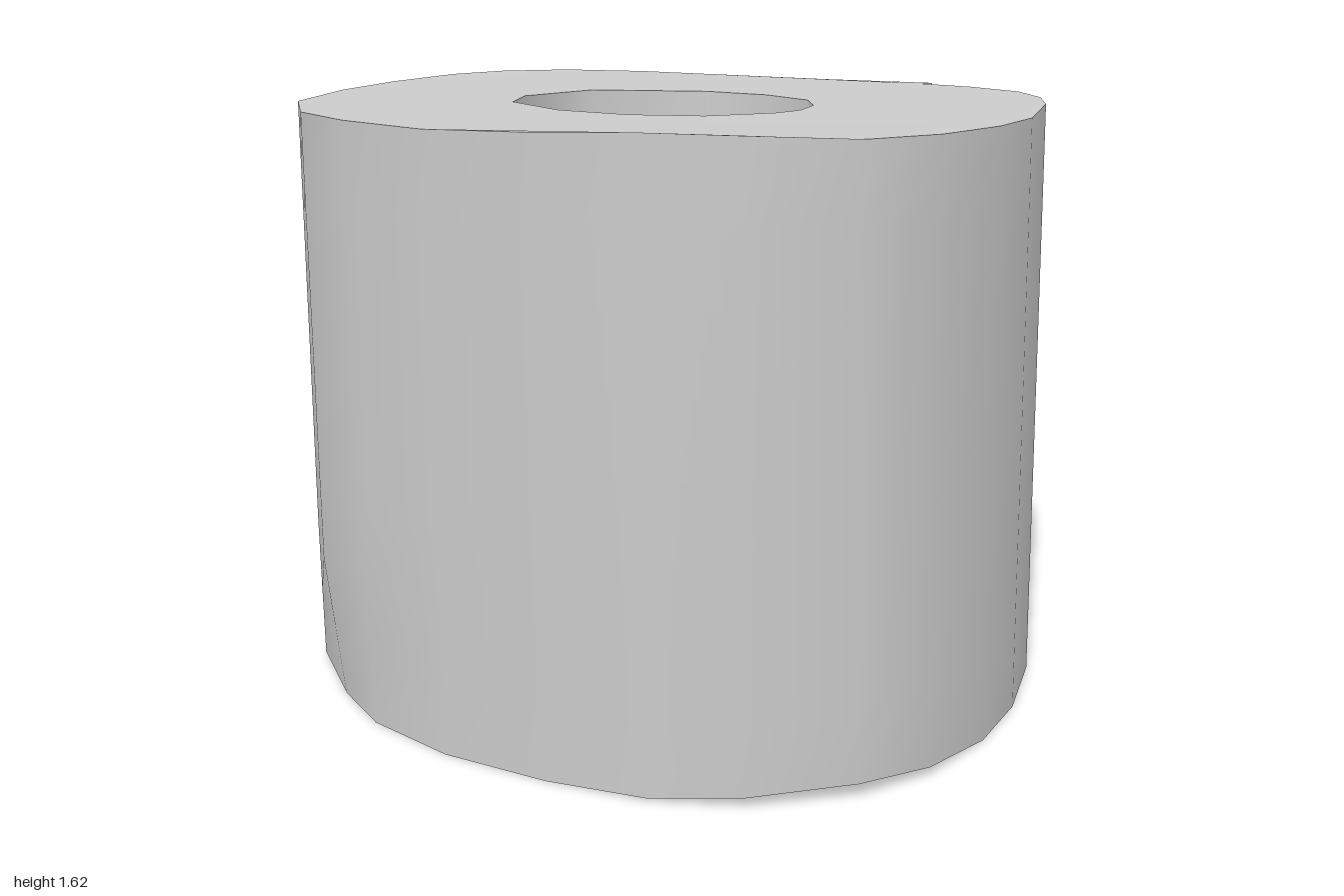
import * as THREE from 'three';

// Outer layer, from the loose sheet end round the left, front and right, back under the sheet
const OUTLINE = [
  [0.53, -0.835], [0.2, -0.845], [-0.1, -0.86], [-0.4, -0.845], [-0.62, -0.75], [-0.78, -0.62],
  [-0.88, -0.48], [-0.96, -0.25], [-0.99, 0], [-0.93, 0.33], [-0.77, 0.57], [-0.57, 0.7],
  [-0.3, 0.8], [0, 0.845], [0.27, 0.855], [0.5, 0.81], [0.74, 0.65], [0.87, 0.46], [0.95, 0.2],
  [0.98, -0.05], [0.965, -0.33], [0.92, -0.5], [0.83, -0.65], [0.67, -0.75], [0.5, -0.8],
];
// Core hole at the top and at the bottom
const HOLE_TOP = [
  [0, -0.33], [0.19, -0.29], [0.34, -0.19], [0.395, -0.06], [0.4, 0.07], [0.36, 0.16],
  [0.22, 0.29], [0.03, 0.33], [-0.18, 0.29], [-0.38, 0.14], [-0.42, -0.02], [-0.31, -0.23],
];
const HOLE_BOTTOM = [
  [0, -0.33], [0.18, -0.28], [0.32, -0.17], [0.385, -0.04], [0.395, 0.07], [0.36, 0.16],
  [0.28, 0.24], [0.11, 0.285], [-0.12, 0.25], [-0.3, 0.14], [-0.42, -0.02], [-0.31, -0.23],
];
const LEVELS = 8;

// Smooth bump of the given radius around (cx, cz)
function bump(x, z, cx, cz, radius) {
  const d = Math.min(1, Math.hypot(x - cx, z - cz) / radius);
  return (1 - d * d) ** 2;
}

const bottomY = (x, z) =>
  0.008 + 0.042 * bump(x, z, 0.75, 0.75, 0.65) + 0.02 * bump(x, z, -1, 0.1, 0.5) + 0.01 * bump(x, z, 0.5, -0.85, 0.4);

const topY = (x, z) =>
  1.608 + 0.022 * bump(x, z, 0.35, 0.9, 0.6) + 0.014 * bump(x, z, -0.7, -0.6, 0.7) - 0.01 * bump(x, z, 1, 0, 0.4);

// Rings of points from bottom (t = 0) to top (t = 1)
function outerRing(t) {
  return OUTLINE.map(([x, z], i) => {
    const dent = 1 - 0.045 * bump(x, z, -0.77, 0.57, 0.35) * Math.max(0, 1 - t / 0.25);
    const lean = z > 0 ? 0.965 + 0.04 * t : 1.01 - 0.02 * t;
    const ripple = i === 0 || i === OUTLINE.length - 1 ? 0.012 * Math.sin(t * 9) : 0;
    const wide = x > 0 ? 1.015 - 0.025 * t : 1.005 - 0.01 * t;
    return new THREE.Vector3(
      x * wide * dent + ripple, THREE.MathUtils.lerp(bottomY(x, z), topY(x, z), t), z * lean * dent);
  });
}

function holeRing(t) {
  return HOLE_TOP.map(([x, z], i) => {
    const [bx, bz] = HOLE_BOTTOM[i];
    return new THREE.Vector3(
      THREE.MathUtils.lerp(bx, x, t), THREE.MathUtils.lerp(bottomY(x, z), topY(x, z), t), THREE.MathUtils.lerp(bz, z, t));
  });
}

function buildGeometry(points, index) {
  const geometry = new THREE.BufferGeometry().setFromPoints(points);
  geometry.setIndex(index);
  geometry.computeVertexNormals();
  return geometry;
}

// Wall through a stack of rings
function wall(rings, closed) {
  const n = rings[0].length;
  const index = [];
  for (let j = 0; j < rings.length - 1; j++) {
    for (let i = 0; i < (closed ? n : n - 1); i++) {
      const a = j * n + i, b = j * n + (i + 1) % n;
      index.push(a, b, b + n, a, b + n, a + n);
    }
  }
  return buildGeometry(rings.flat(), index);
}

// End face between the outer ring and the hole
function endFace(outer, hole, faceUp) {
  const flat = (ring) => ring.map((p) => new THREE.Vector2(p.x, -p.z));
  const faces = THREE.ShapeUtils.triangulateShape(flat(outer), [flat(hole)]);
  return buildGeometry([...outer, ...hole], faces.flatMap(([a, b, c]) => (faceUp ? [a, b, c] : [a, c, b])));
}

export function createModel() {
  const group = new THREE.Group();
  group.name = 'paperRoll';
  const material = new THREE.MeshStandardMaterial({ color: 0xcccccc, side: THREE.DoubleSide });
  const add = (name, geometry) => {
    const mesh = new THREE.Mesh(geometry, material);
    mesh.name = name;
    group.add(mesh);
  };

  const steps = Array.from({ length: LEVELS + 1 }, (_, j) => j / LEVELS);
  const outer = steps.map(outerRing);
  const hole = steps.map(holeRing);

  add('outerPaper', wall(outer, false));
  // Narrow step where the loose sheet ends
  add('sheetEnd', wall(outer.map((ring) => [ring[ring.length - 1], ring[0]]), false));
  add('coreHole', wall(hole, true));
  add('topFace', endFace(outer[LEVELS], hole[LEVELS], true));
  add('bottomFace', endFace(outer[0], hole[0], false));
  return group;
}
